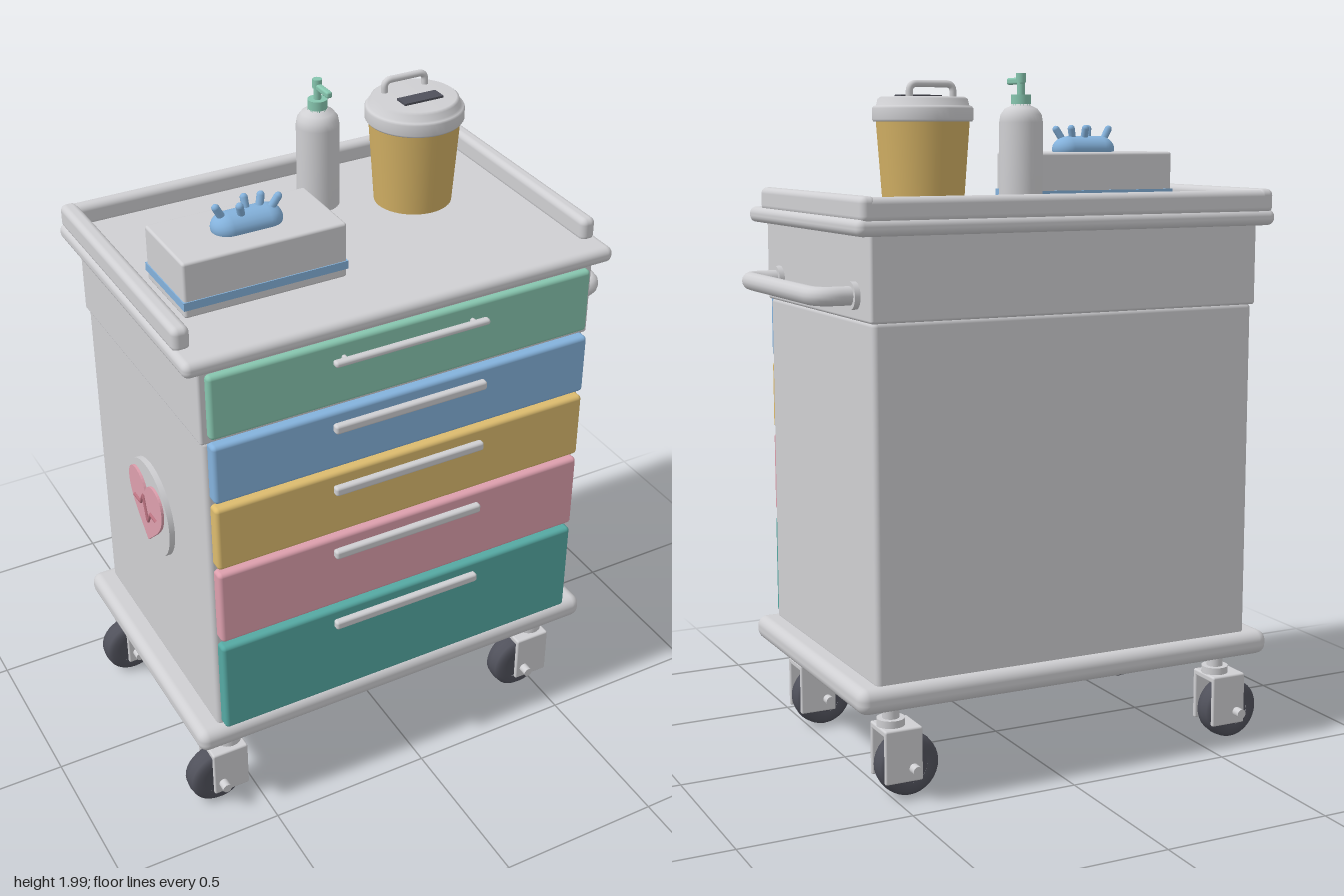
import * as THREE from 'three';
import { RoundedBoxGeometry } from 'three/addons/geometries/RoundedBoxGeometry.js';

const material = (name, color) => {
  const m = new THREE.MeshStandardMaterial({ color });
  m.name = name;
  return m;
};

export function createModel() {
  const model = new THREE.Group();
  model.name = 'drawerCart';
  const grey = material('lightGrey', 0xcfcfd2);
  const dark = material('darkRubber', 0x50515b);
  const mint = material('mint', 0x87c6af);
  const blue = material('blue', 0x84b2dc);
  const yellow = material('yellow', 0xdcbb6e);
  const tan = material('binYellow', 0xd2b064);
  const pink = material('pink', 0xdd9fad);
  const teal = material('teal', 0x55a9a3);
  const rose = material('rose', 0xb9717f);

  const add = (name, geometry, mat, x = 0, y = 0, z = 0, parent = model) => {
    const mesh = new THREE.Mesh(geometry, mat);
    mesh.name = name;
    mesh.position.set(x, y, z);
    parent.add(mesh);
    return mesh;
  };
  // Rounded box given by its limits on each axis
  const box = (name, mat, [x0, x1], [y0, y1], [z0, z1], r = 0.01, parent = model) =>
    add(name, new RoundedBoxGeometry(x1 - x0, y1 - y0, z1 - z0, 3, r), mat,
      (x0 + x1) / 2, (y0 + y1) / 2, (z0 + z1) / 2, parent);
  const rod = (r, h, sides = 24, r2 = r) => new THREE.CylinderGeometry(r, r2, h, sides);
  const group = (name, x, y, z) => {
    const g = new THREE.Group();
    g.name = name;
    g.position.set(x, y, z);
    model.add(g);
    return g;
  };
  // Straight run with rounded corners through a few points
  const bentTube = (points, bend, r) => {
    const p = points.map((a) => new THREE.Vector3(...a));
    const path = new THREE.CurvePath();
    let start = p[0];
    for (let i = 1; i < p.length - 1; i++) {
      const before = p[i].clone().add(p[i - 1].clone().sub(p[i]).setLength(bend));
      const after = p[i].clone().add(p[i + 1].clone().sub(p[i]).setLength(bend));
      path.add(new THREE.LineCurve3(start, before));
      path.add(new THREE.QuadraticBezierCurve3(before, p[i], after));
      start = after;
    }
    path.add(new THREE.LineCurve3(start, p[p.length - 1]));
    return new THREE.TubeGeometry(path, 80, r, 14);
  };

  // Cabinet, base and worktop
  box('base', grey, [-0.7, 0.625], [0.28, 0.352], [-0.44, 0.425], 0.03);
  box('cabinet', grey, [-0.632, 0.563], [0.34, 1.345], [-0.408, 0.393], 0.015);
  box('upperCabinet', grey, [-0.64, 0.57], [1.34, 1.585], [-0.413, 0.397], 0.008);
  box('worktop', grey, [-0.687, 0.617], [1.57, 1.616], [-0.445, 0.43], 0.02);
  box('leftRail', grey, [0.56, 0.606], [1.605, 1.675], [-0.442, 0.352], 0.018);
  box('rightRail', grey, [-0.68, -0.63], [1.605, 1.675], [-0.442, 0.352], 0.018);
  box('backRail', grey, [-0.68, 0.606], [1.605, 1.672], [-0.442, -0.398], 0.018);

  // Drawers: colour, bottom, top, handle height, front
  [
    [mint, 1.36, 1.555, 1.505, 0.418],
    [blue, 1.16, 1.345, 1.3, 0.427],
    [yellow, 0.938, 1.143, 1.095, 0.427],
    [pink, 0.68, 0.922, 0.875, 0.427],
    [teal, 0.355, 0.66, 0.617, 0.427],
  ].forEach(([mat, y0, y1, hy, front], i) => {
    box(`drawer${i + 1}`, mat, [-0.62, 0.553], [y0, y1], [0.37, front], 0.012);
    const t = i === 0 ? 0.009 : 0.014;
    box(`drawerHandle${i + 1}`, grey, [-0.27, 0.205], [hy - t, hy + t], [0.428, 0.452], 0.008);
    for (const x of [-0.23, 0.165]) {
      add('handlePost', rod(0.007, 0.04, 10), grey, x, hy, 0.42).rotation.x = Math.PI / 2;
    }
  });

  // Push bar with wall flanges
  add('pushBar', bentTube([[0.55, 1.408, 0.285], [0.677, 1.408, 0.285],
    [0.677, 1.408, -0.305], [0.55, 1.408, -0.305]], 0.06, 0.026), grey);
  for (const z of [0.285, -0.305]) {
    add('barFlange', rod(0.038, 0.02), grey, 0.576, 1.408, z).rotation.z = Math.PI / 2;
  }

  // Swivel castors, all trailing the same way
  for (const x of [-0.62, 0.45]) {
    for (const z of [0.325, -0.34]) {
      const c = group('castor', x, 0.098, z);
      const tyre = [[0.05, -0.034], [0.075, -0.036], [0.088, -0.024], [0.091, 0],
        [0.088, 0.024], [0.075, 0.036], [0.05, 0.034]].map((p) => new THREE.Vector2(...p));
      add('tyre', new THREE.LatheGeometry(tyre, 32), dark, 0, 0, 0, c).rotation.x = Math.PI / 2;
      add('wheelDisc', rod(0.052, 0.06), dark, 0, 0, 0, c).rotation.x = Math.PI / 2;
      add('axle', rod(0.014, 0.17, 16), grey, 0, 0, 0, c).rotation.x = Math.PI / 2;
      for (const s of [-1, 1]) {
        box('forkPlate', grey, [-0.028, 0.085], [-0.038, 0.115],
          [s * 0.049 - 0.007, s * 0.049 + 0.007], 0.005, c);
      }
      box('forkTop', grey, [-0.028, 0.085], [0.097, 0.117], [-0.056, 0.056], 0.006, c);
      add('swivelCollar', rod(0.04, 0.022), grey, 0.045, 0.127, 0, c);
      add('stem', rod(0.024, 0.08), grey, 0.045, 0.16, 0, c);
    }
  }

  // Heart badge on the side wall
  const badge = group('badge', -0.63, 0.89, 0.005);
  badge.rotation.y = -Math.PI / 2;
  add('badgeDisc', rod(0.15, 0.026, 48), grey, 0, 0, 0.006, badge).rotation.x = Math.PI / 2;
  const heart = new THREE.Shape();
  heart.moveTo(0, -0.115);
  heart.bezierCurveTo(-0.05, -0.065, -0.118, -0.02, -0.118, 0.045);
  heart.bezierCurveTo(-0.118, 0.115, -0.03, 0.125, 0, 0.06);
  heart.bezierCurveTo(0.03, 0.125, 0.118, 0.115, 0.118, 0.045);
  heart.bezierCurveTo(0.118, -0.02, 0.05, -0.065, 0, -0.115);
  add('heart', new THREE.ExtrudeGeometry(heart, { depth: 0.008, bevelEnabled: false,
    curveSegments: 16 }), pink, 0, 0, 0.019, badge);
  add('pulseLine', bentTube([[-0.08, 0, 0], [-0.035, 0, 0], [-0.012, 0.04, 0],
    [0.012, -0.04, 0], [0.035, 0, 0], [0.08, 0, 0]], 0.004, 0.006), rose, 0, 0, 0.027, badge);

  // Tissue box with a stripe and a crumpled tissue
  box('tissueBox', grey, [-0.588, -0.112], [1.614, 1.776], [-0.028, 0.218], 0.008);
  add('tissueBoxStripe', new THREE.BoxGeometry(0.482, 0.024, 0.252), blue, -0.35, 1.652, 0.095);
  const tissue = add('tissue', new THREE.CapsuleGeometry(0.048, 0.108, 8, 20), blue, -0.348, 1.785, 0.097);
  tissue.rotation.z = Math.PI / 2;
  tissue.scale.x = 0.8;
  [[-0.425, 0.097, 0.5, 0], [-0.372, 0.115, 0.25, 0.3], [-0.345, 0.085, 0, -0.3],
    [-0.305, 0.09, -0.25, -0.2], [-0.272, 0.107, -0.55, 0.15]].forEach(([x, z, tilt, lean]) => {
    const fold = add('tissueFold', new THREE.CapsuleGeometry(0.011, 0.045, 4, 10), blue,
      x, 1.825, z);
    fold.rotation.set(lean, 0, tilt);
  });

  // Pump bottle
  const bottle = group('pumpBottle', 0.02, 1.614, -0.2);
  const outline = [[0, 0], [0.056, 0], [0.062, 0.006], [0.062, 0.25], [0.058, 0.272],
    [0.046, 0.288], [0.028, 0.296], [0.028, 0.3], [0, 0.3]].map((p) => new THREE.Vector2(...p));
  add('bottle', new THREE.LatheGeometry(outline, 32), grey, 0, 0, 0, bottle);
  add('pumpCap', rod(0.028, 0.034), mint, 0, 0.31, 0, bottle);
  add('pumpStem', rod(0.011, 0.06, 16), mint, 0, 0.348, 0, bottle);
  add('pumpHead', rod(0.014, 0.026, 16), mint, 0, 0.373, 0, bottle);
  box('spout', mint, [-0.009, 0.009], [0.355, 0.374], [-0.012, 0.075], 0.006, bottle);

  // Waste bin with lid, grip and slot
  const bin = group('bin', 0.28, 1.614, -0.105);
  add('binBody', rod(0.132, 0.262, 48, 0.113), tan, 0, 0.131, 0, bin);
  const lid = [[0, 0.252], [0.138, 0.252], [0.142, 0.258], [0.142, 0.288], [0.138, 0.294],
    [0.13, 0.297], [0.126, 0.314], [0.118, 0.32], [0, 0.32]].map((p) => new THREE.Vector2(...p));
  add('binLid', new THREE.LatheGeometry(lid, 48), grey, 0, 0, 0, bin);
  add('binGrip', bentTube([[-0.066, 0.31, 0], [-0.066, 0.355, 0], [0.066, 0.355, 0],
    [0.066, 0.31, 0]], 0.022, 0.01), grey, 0, 0, -0.058, bin);
  add('binSlot', new THREE.BoxGeometry(0.124, 0.008, 0.046), dark, 0, 0.322, 0.03, bin);

  return model;
}
